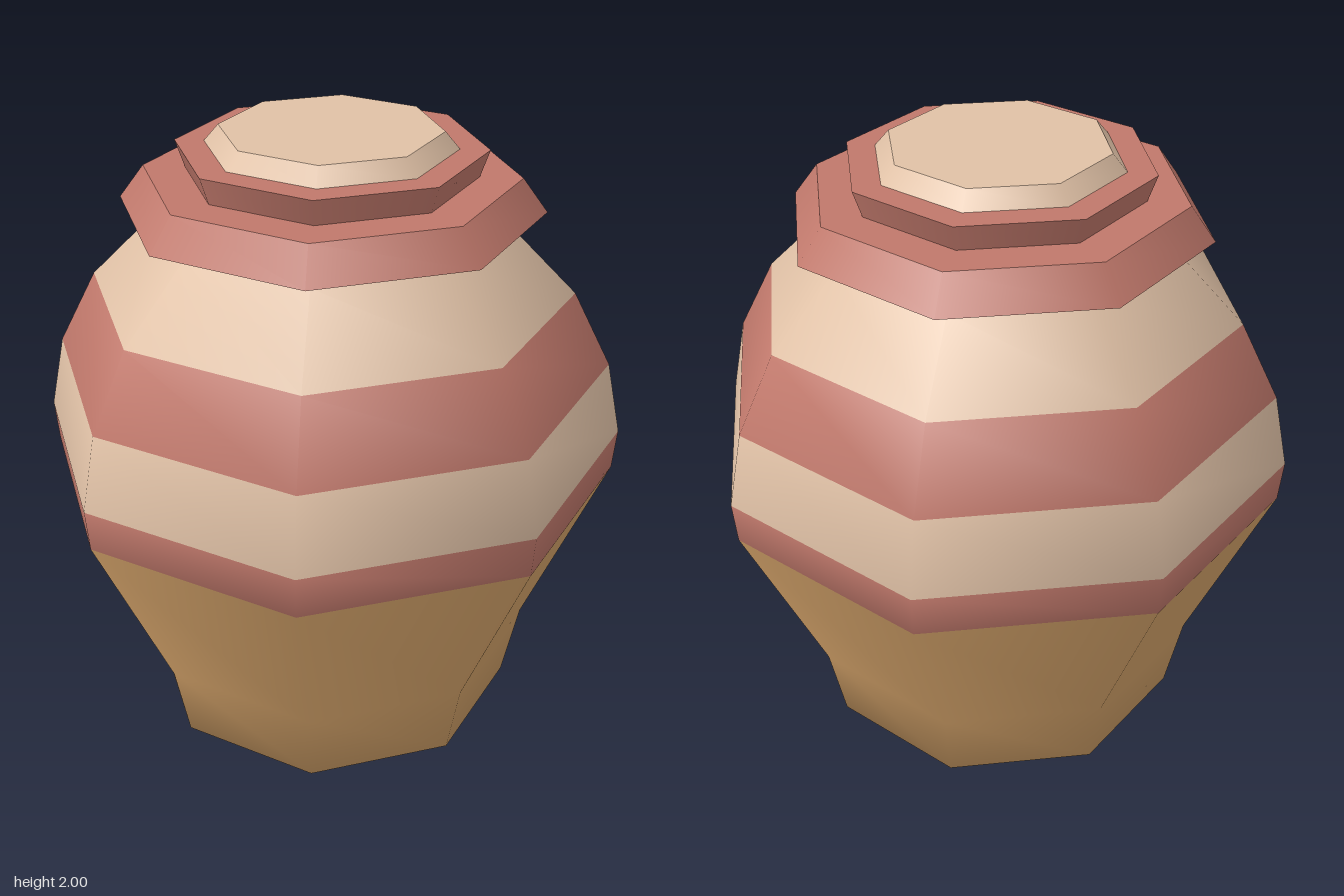
import * as THREE from 'three';

const SIDES = 8;

function material(name, color) {
  const m = new THREE.MeshStandardMaterial({ color });
  m.name = name;
  return m;
}

function lathe(points) {
  return new THREE.LatheGeometry(points.map(([r, y]) => new THREE.Vector2(r, y)), SIDES);
}

// Regroup a lathe's faces ring by ring; bandMaterials has one index per profile step
function groupBands(geometry, bandMaterials) {
  const steps = bandMaterials.length;
  const source = geometry.index.array;
  const index = [];
  geometry.clearGroups();
  bandMaterials.forEach((materialIndex, j) => {
    geometry.addGroup(index.length, SIDES * 6, materialIndex);
    for (let i = 0; i < SIDES; i++) {
      const start = (i * steps + j) * 6;
      index.push(...source.slice(start, start + 6));
    }
  });
  geometry.setIndex(index);
  return geometry;
}

// Ring whose profile steps are each shaded separately, so its edges stay sharp
function sharpRing(name, profile, mat) {
  const group = new THREE.Group();
  group.name = name;
  for (let i = 0; i < profile.length - 1; i++) {
    const mesh = new THREE.Mesh(lathe([profile[i], profile[i + 1]]), mat);
    mesh.name = name + 'Face' + (i + 1);
    group.add(mesh);
  }
  return group;
}

export function createModel() {
  const clay = material('ochre clay', 0xd6a46a);
  const cream = material('cream glaze', 0xe0c1a6);
  const red = material('dusty red glaze', 0xc0786b);

  const model = new THREE.Group();
  model.name = 'pot';

  // Smooth belly: clay foot and lower wall, then alternating painted bands
  const body = lathe([
    [0, 0], [0.35, 0], [0.59, 0.1], [0.64, 0.35], [0.89, 0.93],
    [0.9, 1.06], [0.85, 1.29], [0.73, 1.52], [0.52, 1.73],
  ]);
  const bodyMesh = new THREE.Mesh(
    groupBands(body, [0, 0, 0, 0, 2, 1, 2, 1]), [clay, cream, red]);
  bodyMesh.name = 'body';
  model.add(bodyMesh);

  // Wide collar, flared lid ring and knob
  model.add(
    sharpRing('collar', [[0.52, 1.73], [0.63, 1.77], [0.555, 1.87], [0.43, 1.87]], red),
    sharpRing('lidRing', [[0.43, 1.87], [0.457, 1.95], [0.37, 1.95]], red),
    sharpRing('lidKnob', [[0.37, 1.95], [0.327, 2], [0, 2]], cream),
  );
  return model;
}
